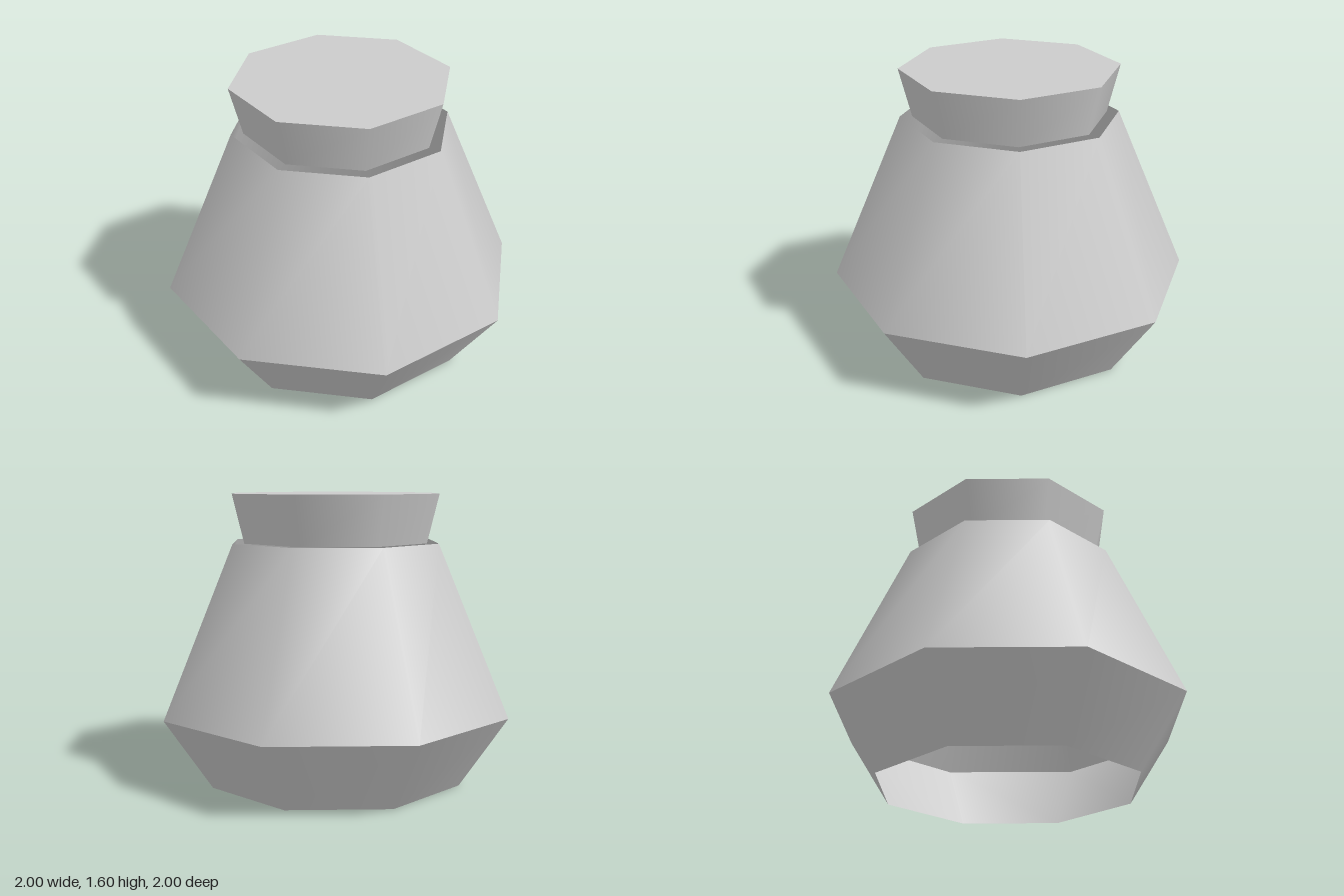
import * as THREE from 'three';

export function createModel() {
  const group = new THREE.Group();
  group.name = 'jar';
  const grey = new THREE.MeshStandardMaterial({ color: 0xcccccc, side: THREE.DoubleSide });
  grey.name = 'light grey';

  // Eight-sided tapered band with smooth walls, standing from y0 to y1
  function band(name, bottomRadius, topRadius, y0, y1, open) {
    const geometry = new THREE.CylinderGeometry(topRadius, bottomRadius, y1 - y0, 8, 1, open);
    geometry.translate(0, (y0 + y1) / 2, 0);
    const mesh = new THREE.Mesh(geometry, grey);
    mesh.name = name;
    group.add(mesh);
  }

  // Hollow body, open underneath
  band('base', 0.733, 1, 0, 0.4, true);
  band('shoulder', 1, 0.6, 0.4, 1.333, true);
  // Flared, closed lid resting in the mouth
  band('lid', 0.533, 0.6, 1.333, 1.6, false);

  return group;
}
